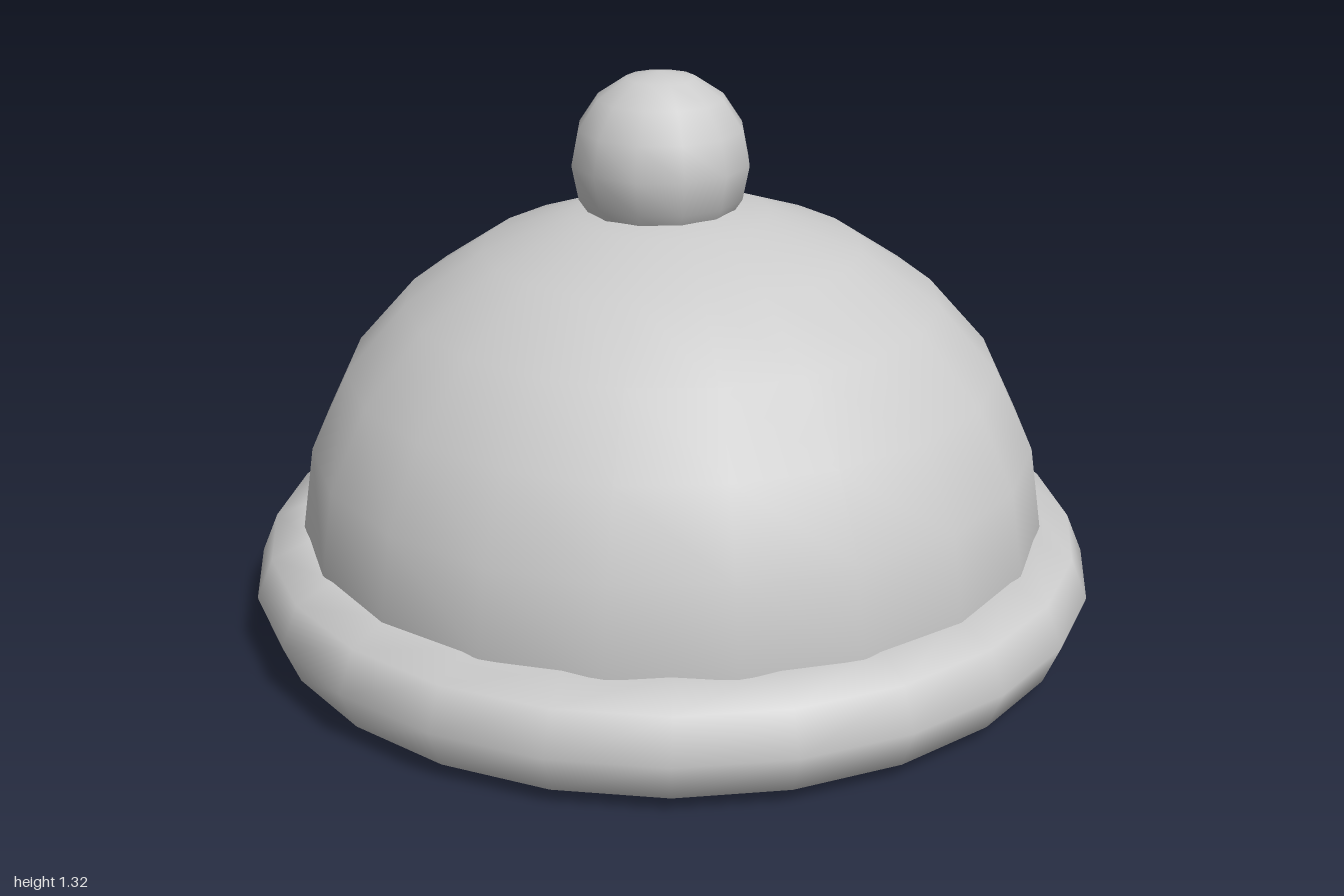
import * as THREE from 'three';

export function createModel() {
  const group = new THREE.Group();
  const metal = new THREE.MeshStandardMaterial({ color: 0xcccccc, side: THREE.DoubleSide });
  metal.name = 'pale grey metal';

  const add = (name, geometry, x, y, z) => {
    const mesh = new THREE.Mesh(geometry, metal);
    mesh.name = name;
    mesh.position.set(x, y, z);
    group.add(mesh);
    return mesh;
  };

  // Rounded ring around the open base
  add('rim', new THREE.TorusGeometry(0.867, 0.133, 8, 24).rotateX(Math.PI / 2), 0, 0.133, 0);

  // Hollow, slightly flattened half sphere
  const dome = new THREE.SphereGeometry(0.88, 20, 6, 0, Math.PI * 2, 0, Math.PI / 2);
  dome.scale(1, 0.865, 1);
  add('dome', dome, 0, 0.26, 0);

  // Ball handle, set a little behind the centre
  add('knob', new THREE.SphereGeometry(0.21, 12, 8), 0, 1.11, -0.037);

  return group;
}
